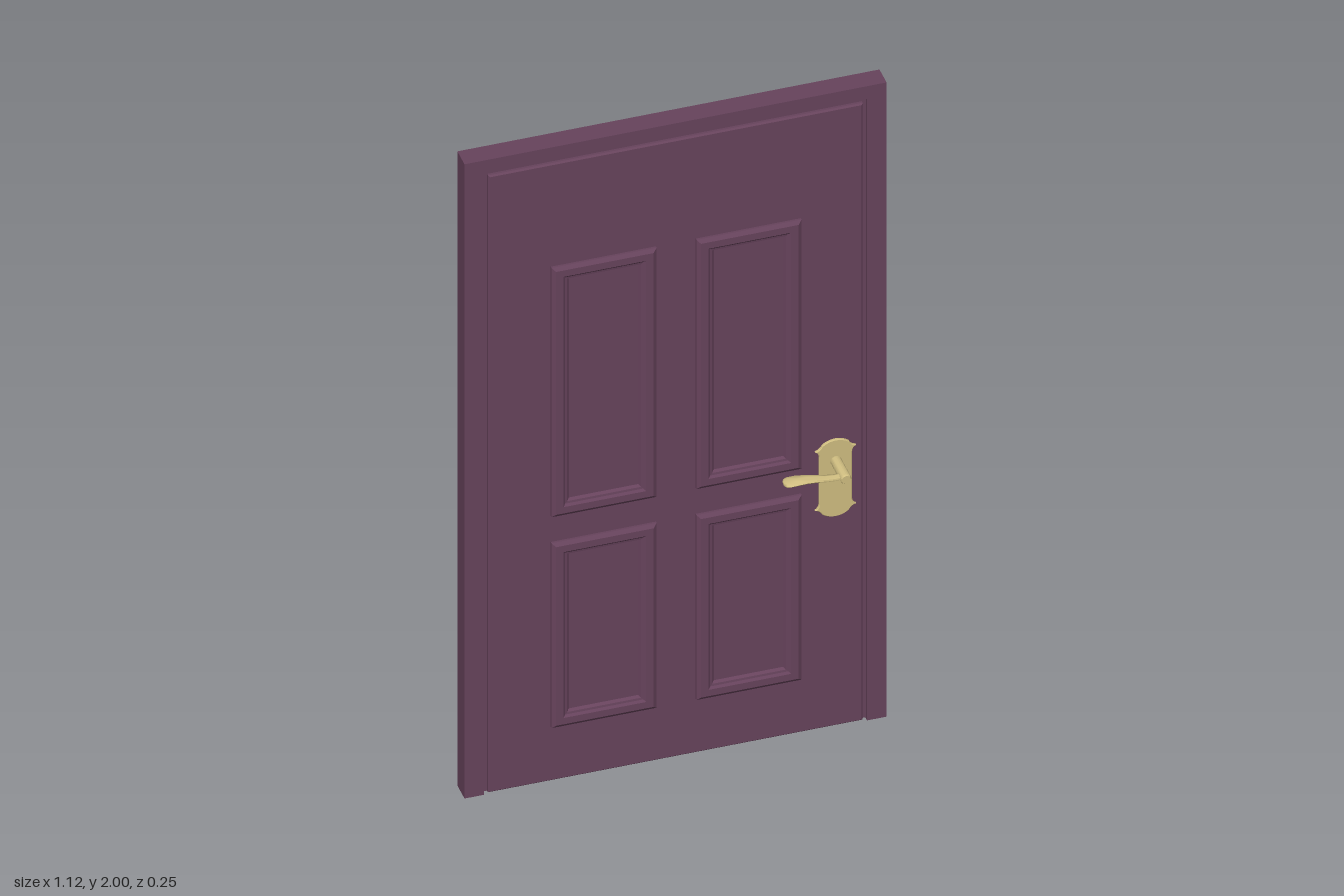
import * as THREE from 'three';
import { toCreasedNormals } from 'three/addons/utils/BufferGeometryUtils.js';

const wood = new THREE.MeshStandardMaterial({ color: 0x67435c });
wood.name = 'plum paint';
const brass = new THREE.MeshStandardMaterial({ color: 0xcfbd80 });
brass.name = 'brass';

function add(parent, name, geometry, material, x = 0, y = 0, z = 0) {
  const mesh = new THREE.Mesh(geometry, material);
  mesh.name = name;
  mesh.position.set(x, y, z);
  parent.add(mesh);
  return mesh;
}

// Skin a row of closed cross-sections, each a list of [x, y, z]
function skin(rings, capStart, capEnd, crease) {
  const pos = [];
  const tri = (a, b, c) => pos.push(...a, ...b, ...c);
  const n = rings[0].length;
  for (let r = 0; r + 1 < rings.length; r++) {
    for (let i = 0; i < n; i++) {
      const j = (i + 1) % n, a = rings[r], b = rings[r + 1];
      tri(a[i], a[j], b[j]);
      tri(a[i], b[j], b[i]);
    }
  }
  const first = rings[0], last = rings[rings.length - 1];
  for (let i = 1; i < n - 1; i++) {
    if (capStart) tri(first[0], first[i + 1], first[i]);
    if (capEnd) tri(last[0], last[i], last[i + 1]);
  }
  const g = new THREE.BufferGeometry();
  g.setAttribute('position', new THREE.Float32BufferAttribute(pos, 3));
  g.computeVertexNormals();
  return crease ? toCreasedNormals(g, crease) : g;
}

// Sweep a profile of [inset, z] around a rectangle
function rectSweep(x0, x1, y0, y1, profile, cap) {
  return skin(profile.map(([d, z]) => [
    [x0 + d, y0 + d, z], [x1 - d, y0 + d, z], [x1 - d, y1 - d, z], [x0 + d, y1 - d, z],
  ]), false, cap);
}

// Backplate outline: straight sides, pointed shoulders and arched ends
function plateGeometry() {
  const s = new THREE.Shape();
  s.moveTo(0.044, -0.075);
  s.lineTo(0.044, 0.075);
  s.quadraticCurveTo(0.046, 0.088, 0.055, 0.092);
  s.quadraticCurveTo(0.040, 0.097, 0.036, 0.108);
  s.quadraticCurveTo(0.020, 0.121, 0, 0.121);
  s.quadraticCurveTo(-0.020, 0.121, -0.036, 0.108);
  s.quadraticCurveTo(-0.040, 0.097, -0.055, 0.092);
  s.quadraticCurveTo(-0.046, 0.088, -0.044, 0.075);
  s.lineTo(-0.044, -0.075);
  s.quadraticCurveTo(-0.046, -0.088, -0.055, -0.092);
  s.quadraticCurveTo(-0.040, -0.097, -0.036, -0.108);
  s.quadraticCurveTo(-0.020, -0.121, 0, -0.121);
  s.quadraticCurveTo(0.020, -0.121, 0.036, -0.108);
  s.quadraticCurveTo(0.040, -0.097, 0.055, -0.092);
  s.quadraticCurveTo(0.046, -0.088, 0.044, -0.075);
  return new THREE.ExtrudeGeometry(s, {
    depth: 0.008, curveSegments: 5, bevelEnabled: true,
    bevelThickness: 0.002, bevelSize: 0.002, bevelOffset: -0.002, bevelSegments: 1,
  });
}

// Wavy lever: [distance, height, centre z, half depth, half thickness]
function leverGeometry(dir) {
  const stations = [
    [0.000, 0.000, 0.104, 0.011, 0.007],
    [0.025, -0.001, 0.104, 0.012, 0.007],
    [0.050, 0.001, 0.103, 0.013, 0.007],
    [0.075, 0.005, 0.102, 0.015, 0.007],
    [0.100, 0.008, 0.101, 0.018, 0.007],
    [0.125, 0.009, 0.100, 0.021, 0.007],
    [0.145, 0.008, 0.099, 0.022, 0.006],
    [0.154, 0.007, 0.099, 0.019, 0.005],
    [0.159, 0.006, 0.099, 0.011, 0.003],
  ];
  const n = 12;
  const rings = stations.map(([d, h, z, a, b]) => Array.from({ length: n }, (_, i) => {
    const t = -dir * i / n * Math.PI * 2;
    return [dir * d, h + b * Math.sin(t), z + a * Math.cos(t)];
  }));
  return skin(rings, true, true, 1);
}

export function createModel() {
  const door = new THREE.Group();
  door.name = 'door';

  // Surround: two jambs and a head
  const frame = new THREE.Group();
  frame.name = 'frame';
  door.add(frame);
  for (const s of [-1, 1]) {
    add(frame, 'jamb', new THREE.BoxGeometry(0.052, 2, 0.058), wood, s * 0.536, 1, 0);
  }
  add(frame, 'head', new THREE.BoxGeometry(1.02, 0.04, 0.058), wood, 0, 1.98, 0);

  // Leaf core forms the floor of the groove along the frame
  add(door, 'leafCore', new THREE.BoxGeometry(1.02, 1.956, 0.04), wood, 0, 0.982, 0);

  // Both faces of the door
  for (const s of [1, -1]) {
    const face = new THREE.Group();
    face.name = s > 0 ? 'frontFace' : 'backFace';
    face.rotation.y = s > 0 ? 0 : Math.PI;
    door.add(face);

    add(face, 'leafSkin', rectSweep(-0.499, 0.499, 0.004, 1.949,
      [[0, 0.02], [0, 0.027], [0.004, 0.031]], true), wood);

    // Raised mouldings around four panels
    const ridge = [[0, 0.03], [0, 0.037], [0.01, 0.044], [0.03, 0.044],
      [0.036, 0.039], [0.042, 0.038], [0.048, 0.03]];
    for (const [y0, y1] of [[0.175, 0.758], [0.84, 1.626]]) {
      for (const x0 of [-0.333, 0.053]) {
        add(face, 'panelMoulding', rectSweep(x0, x0 + 0.28, y0, y1, ridge, false), wood);
      }
    }

    // Handle set, always pointing towards the middle of the door
    const handle = new THREE.Group();
    handle.name = 'handle';
    handle.position.set(s * 0.424, 0.845, 0);
    face.add(handle);
    add(handle, 'backplate', plateGeometry(), brass, 0, -0.055, 0.028);
    const spindle = [[0, 0.03], [0.0145, 0.03], [0.0145, 0.12], [0.012, 0.124], [0, 0.124]]
      .map(([r, y]) => new THREE.Vector2(r, y));
    const post = toCreasedNormals(new THREE.LatheGeometry(spindle, 20), 0.6);
    add(handle, 'spindle', post, brass).rotation.x = Math.PI / 2;
    add(handle, 'lever', leverGeometry(-s), brass);
  }
  return door;
}
